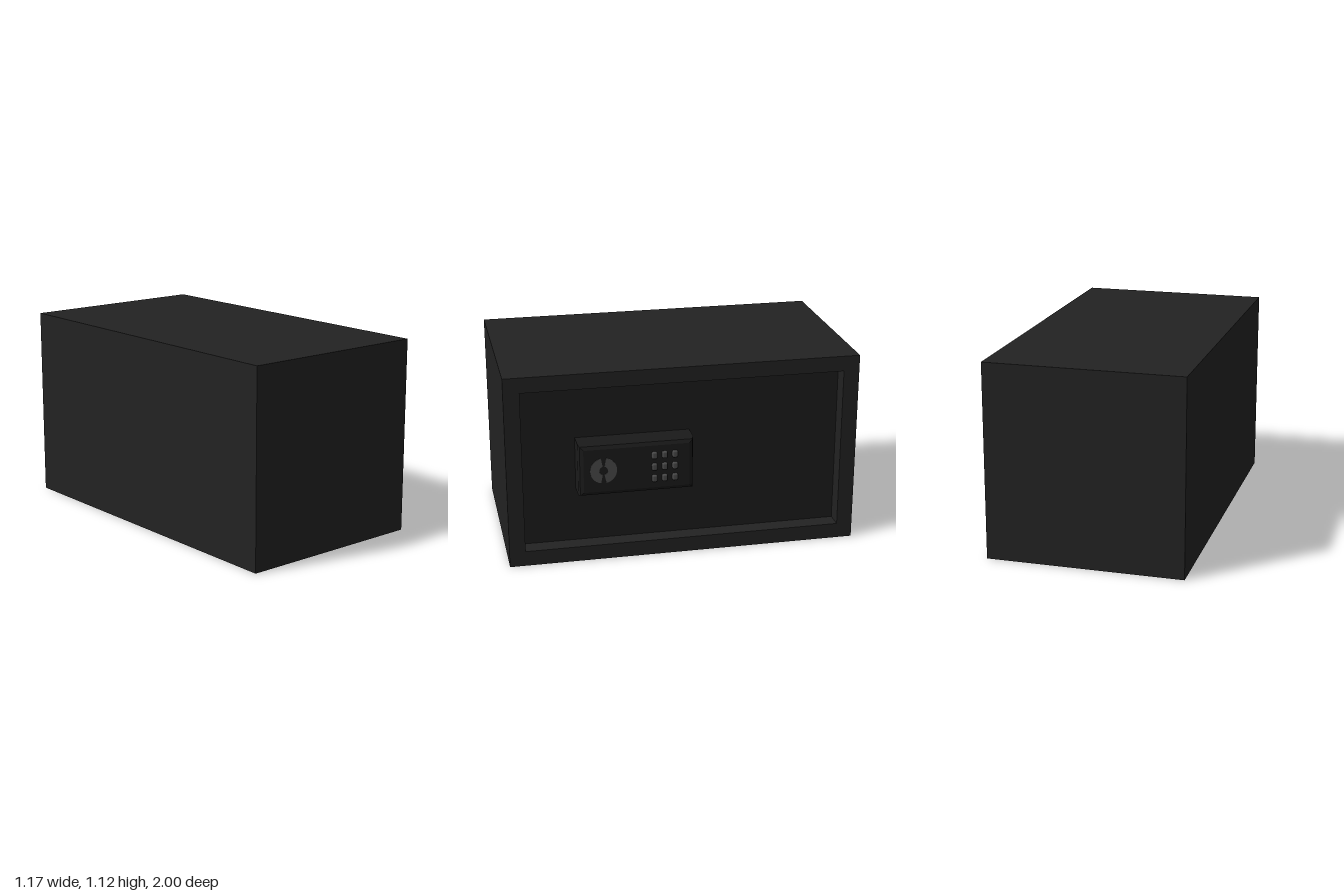
import * as THREE from 'three';
import { RoundedBoxGeometry } from 'three/addons/geometries/RoundedBoxGeometry.js';

const material = (color) => new THREE.MeshStandardMaterial({ color });

// Rectangle outline with its centre at (u, v)
function rectangle(u, v, w, h, Type = THREE.Shape) {
  const r = new Type();
  r.moveTo(u - w / 2, v - h / 2);
  r.lineTo(u + w / 2, v - h / 2);
  r.lineTo(u + w / 2, v + h / 2);
  r.lineTo(u - w / 2, v + h / 2);
  r.closePath();
  return r;
}

export function createModel() {
  const model = new THREE.Group();
  model.name = 'safe';

  // Built facing local +z, then turned so the door faces +x
  const safe = new THREE.Group();
  safe.name = 'safeBody';
  safe.rotation.y = Math.PI / 2;
  model.add(safe);

  const bodyMat = material(0x222222);
  const doorMat = material(0x1c1c1c);
  const padMat = material(0x1a1a1a);
  const metalMat = material(0x4a4a4a);

  function add(name, geometry, mat, x = 0, y = 0, z = 0, parent = safe) {
    const mesh = new THREE.Mesh(geometry, mat);
    mesh.name = name;
    mesh.position.set(x, y, z);
    parent.add(mesh);
    return mesh;
  }

  const W = 2, H = 1.115, back = -0.585, front = 0.53, doorZ = 0.43;
  const midY = H / 2;

  // Cabinet: solid block behind the door and a rim around it
  const blockDepth = doorZ - 0.01 - back;
  add('cabinet', new THREE.BoxGeometry(W, H, blockDepth), bodyMat, 0, midY, back + blockDepth / 2);
  const rim = rectangle(0, midY, W, H);
  rim.holes.push(rectangle(0, midY, 1.82, 0.94, THREE.Path));
  const rimDepth = front - doorZ + 0.01;
  add('doorRim', new THREE.ExtrudeGeometry(rim, { depth: rimDepth, bevelEnabled: false }),
    bodyMat, 0, 0, front - rimDepth);

  // Recessed door
  add('door', new THREE.BoxGeometry(1.82, 0.94, 0.04), doorMat, 0, midY, doorZ - 0.02);

  // Lock housing with bevelled front edges
  const lock = new THREE.Group();
  lock.name = 'lock';
  safe.add(lock);
  const bevel = 0.027;
  add('lockHousing', new THREE.ExtrudeGeometry(
    rectangle(-0.28, midY, 0.65 - 2 * bevel, 0.305 - 2 * bevel),
    { depth: 0.11, bevelThickness: 0.038, bevelSize: bevel, bevelSegments: 2 }),
  padMat, 0, 0, 0.42, lock);
  const lockFront = 0.568;

  // Keypad: three rows of three buttons
  const button = new RoundedBoxGeometry(0.031, 0.042, 0.04, 3, 0.01);
  for (let row = 0; row < 3; row++) {
    for (let col = 0; col < 3; col++) {
      add('keypadButton', button, metalMat,
        -0.181 + col * 0.058, midY + (1 - row) * 0.069, lockFront - 0.005, lock);
    }
  }

  // Round dial split into two curved halves
  const gap = 0.2, outer = 0.075, inner = 0.024;
  for (const side of [0, 1]) {
    const from = -Math.PI / 2 + gap + side * Math.PI;
    const to = from + Math.PI - 2 * gap;
    const half = new THREE.Shape();
    half.absarc(0, 0, outer, from, to, false);
    half.absarc(0, 0, inner, to, from, true);
    half.closePath();
    add(side ? 'dialHalfLeft' : 'dialHalfRight',
      new THREE.ExtrudeGeometry(half, { depth: 0.008, bevelEnabled: false, curveSegments: 20 }),
      metalMat, -0.467, midY, lockFront - 0.005, lock);
  }

  return model;
}
